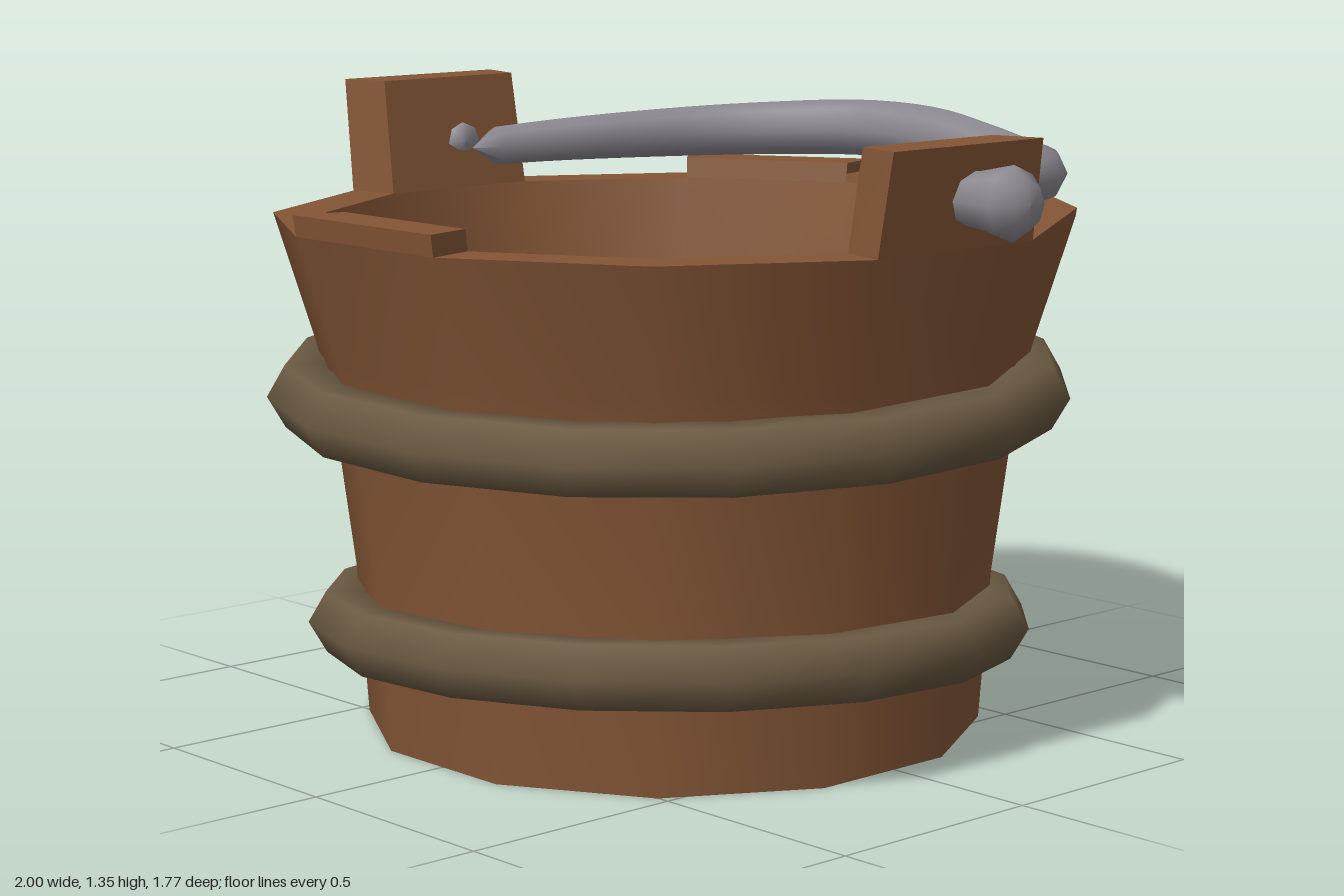
import * as THREE from 'three';

const SIDES = 12;
const STEP = (Math.PI * 2) / SIDES;
const CENTRE_Z = 0.03;
const RIM = 1.1;
const corner = 1 / Math.cos(STEP / 2); // flat-to-flat radius -> corner radius

export function createModel() {
  const wood = new THREE.MeshStandardMaterial({ color: 0x845636 });
  const hoopBrown = new THREE.MeshStandardMaterial({ color: 0x6b5a42 });
  const metal = new THREE.MeshStandardMaterial({ color: 0x8c8991 });
  wood.name = 'wood';
  hoopBrown.name = 'hoopBrown';
  metal.name = 'metal';

  const model = new THREE.Group();
  model.name = 'bucket';
  const add = (name, geometry, material, z = 0) => {
    const mesh = new THREE.Mesh(geometry, material);
    mesh.name = name;
    mesh.position.z = z;
    model.add(mesh);
    return mesh;
  };

  // Twelve-sided surface from a profile of [flat radius, height]
  const turned = (name, profile) => {
    const points = profile.map(([r, y]) => new THREE.Vector2(r * corner, y));
    add(name, new THREE.LatheGeometry(points, SIDES, STEP / 2), wood, CENTRE_Z);
  };
  turned('outerWall', [[0.645, 0], [0.668, 0.33], [0.71, 0.66], [0.745, 0.82], [0.83, RIM]]);
  turned('rim', [[0.83, RIM], [0.72, RIM]]);
  turned('innerWallAndFloor', [[0.72, RIM], [0.65, 0.72], [0.565, 0.13], [0, 0.13]]);
  turned('bottomLip', [[0.575, 0], [0.645, 0]]);
  turned('underside', [[0, 0.1], [0.56, 0.1], [0.575, 0]]);

  // Block standing on one side of the rim, side 0 at the front, counted towards +x
  const staveTop = (name, side, startHeight, endHeight) => {
    const geometry = new THREE.BoxGeometry(1, 1, 1);
    const p = geometry.attributes.position;
    for (let i = 0; i < p.count; i++) {
      const end = p.getX(i) > 0;
      const rise = p.getY(i) > 0 ? (end ? endHeight : startHeight) - RIM : 0;
      const r = ((p.getZ(i) > 0 ? 0.83 : 0.72) + rise * 0.15) * corner;
      const angle = (side + (end ? 0.5 : -0.5)) * STEP;
      const narrow = 1 - rise * 0.35;
      const x = r * Math.sin(angle);
      const z = r * Math.cos(angle);
      // tall ears taper slightly along their width
      p.setXYZ(i, x, RIM + rise, side % 6 === 3 ? z * narrow : z);
    }
    geometry.computeVertexNormals();
    add(name, geometry, wood, CENTRE_Z);
  };
  staveTop('leftEar', 3, 1.31, 1.31);
  staveTop('rightEar', 9, 1.35, 1.35);
  staveTop('frontRaisedStave', 0, 1.145, 1.145);
  staveTop('leftBackStave', 4, 1.102, 1.118);
  staveTop('backLeftStave', 5, 1.118, 1.133);
  staveTop('backStave', 6, 1.133, 1.12);
  staveTop('backRightRaisedStave', 7, 1.145, 1.145);

  // Slightly tilted hoops with a six-sided section
  const hoop = (name, radius, y, slopeX, slopeZ) => {
    const geometry = new THREE.TorusGeometry(radius, 0.077, 6, 16);
    geometry.rotateZ(Math.PI / 16);
    geometry.rotateX(Math.PI / 2);
    const p = geometry.attributes.position;
    for (let i = 0; i < p.count; i++) {
      p.setY(i, p.getY(i) + y + p.getX(i) * slopeX + p.getZ(i) * slopeZ);
    }
    geometry.computeBoundingSphere();
    add(name, geometry, hoopBrown, 0.04).position.x = 0.004;
  };
  hoop('upperHoop', 0.787, 0.737, -0.018, -0.025);
  hoop('lowerHoop', 0.708, 0.228, 0.037, 0.037);

  // Handle lying over the back rim: oval section, thicker in the middle, closed at the ends
  const path = new THREE.CatmullRomCurve3([
    [-0.7, 1.19, 0.01], [-0.64, 1.2, -0.22], [-0.55, 1.205, -0.54], [-0.44, 1.21, -0.69],
    [-0.28, 1.217, -0.79], [-0.12, 1.217, -0.81], [0.03, 1.21, -0.795], [0.28, 1.185, -0.72],
    [0.44, 1.18, -0.63], [0.55, 1.18, -0.48], [0.63, 1.185, -0.2], [0.7, 1.19, 0.01],
  ].map((v) => new THREE.Vector3(...v)));
  const along = 40;
  const around = 8;
  const handle = new THREE.TubeGeometry(path, along, 1, around);
  const hp = handle.attributes.position;
  const point = new THREE.Vector3();
  for (let i = 0; i <= along; i++) {
    const centre = path.getPointAt(i / along);
    const atEnd = i === 0 || i === along;
    const r = atEnd ? 0 : 0.048 + 0.029 * Math.sin((Math.PI * i) / along);
    for (let j = 0; j <= around; j++) {
      const k = i * (around + 1) + j;
      point.fromBufferAttribute(hp, k).sub(centre).multiplyScalar(r);
      hp.setXYZ(k, centre.x + point.x, centre.y + point.y * 0.86, centre.z + point.z);
    }
  }
  handle.computeBoundingSphere();
  add('handle', handle, metal);

  // Pins through the ears with flared knobs outside
  const pinProfile = [[0, 0.73], [0.045, 0.735], [0.058, 0.87], [0.076, 0.955], [0.045, 0.995], [0, 1]]
    .map(([r, y]) => new THREE.Vector2(r, y));
  for (const [name, side] of [['leftPin', 1], ['rightPin', -1]]) {
    const pin = add(name, new THREE.LatheGeometry(pinProfile, 8), metal, 0.005);
    pin.position.y = 1.2;
    pin.rotation.z = (-side * Math.PI) / 2;
  }

  return model;
}
